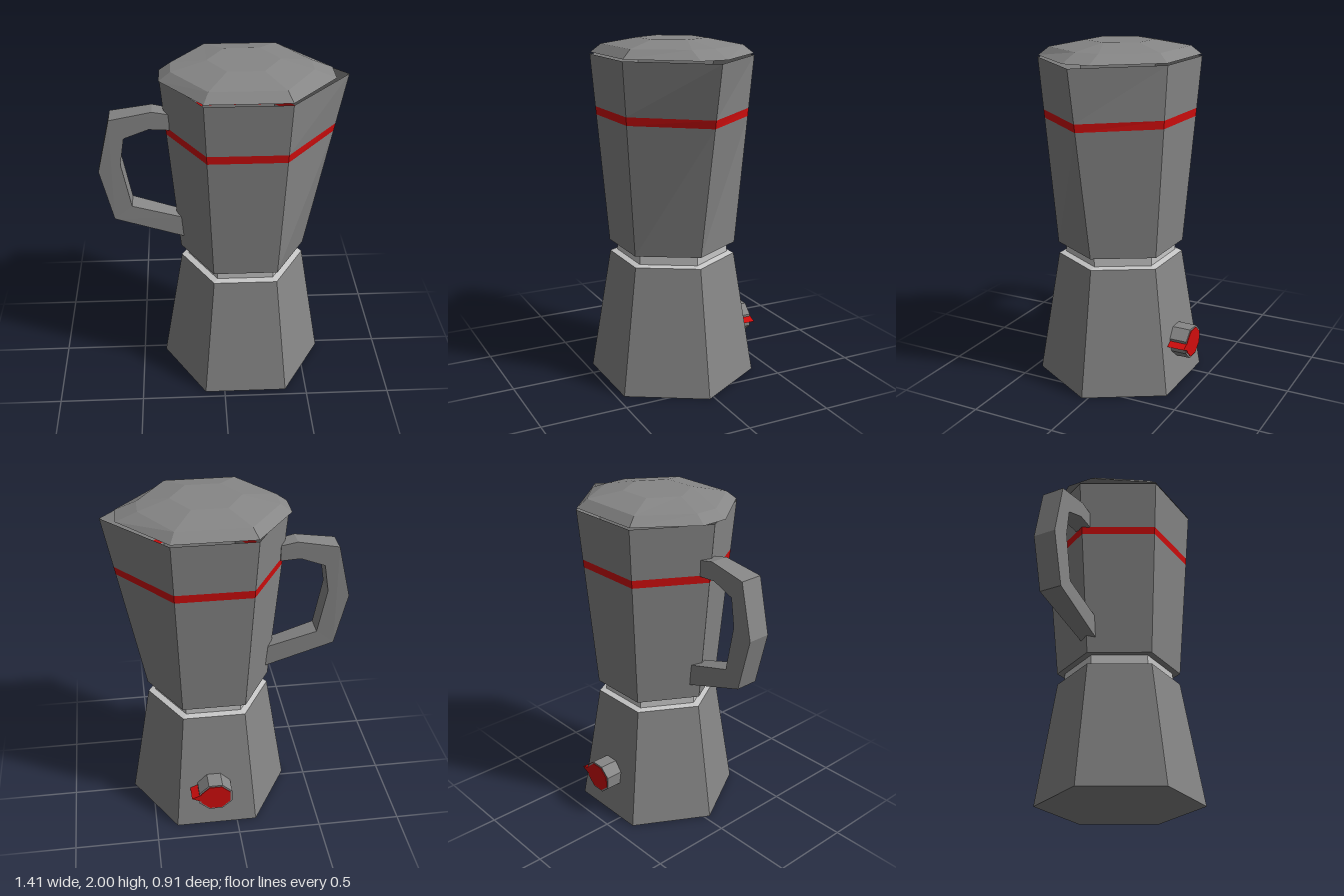
import * as THREE from 'three';

const CZ = 0.033; // z of the pot's axis

const mat = (name, color) => {
  const m = new THREE.MeshStandardMaterial({ color, side: THREE.DoubleSide });
  m.name = name;
  return m;
};

// Skin a stack of rings (bottom to top) with flat faces and optional end caps
function loft(rings, capBottom, capTop) {
  const pos = [];
  const tri = (a, b, c) => pos.push(...a, ...b, ...c);
  const n = rings[0].length;
  const centre = (ring) => [0, 1, 2].map((k) => ring.reduce((s, p) => s + p[k], 0) / n);
  const first = rings[0], last = rings[rings.length - 1];
  for (let j = 0; j < n; j++) {
    const k = (j + 1) % n;
    for (let i = 0; i < rings.length - 1; i++) {
      const a = rings[i], b = rings[i + 1];
      tri(a[j], b[j], a[k]);
      tri(a[k], b[j], b[k]);
    }
    if (capBottom) tri(centre(first), first[j], first[k]);
    if (capTop) tri(centre(last), last[k], last[j]);
  }
  const g = new THREE.BufferGeometry();
  g.setAttribute('position', new THREE.Float32BufferAttribute(pos, 3));
  g.computeVertexNormals();
  return g;
}

// Hexagon with corners on +x and -x; the +x corner may be pulled out to a spout
function hex(y, r, cx, spoutX = cx + r) {
  return Array.from({ length: 6 }, (_, i) => {
    const a = (i * Math.PI) / 3;
    return [i === 0 ? spoutX : cx + r * Math.cos(a), y, CZ + r * Math.sin(a)];
  });
}

// Ring of the upper pot at a given height
function potRing(y) {
  const t = (y - 0.81) / 1.095;
  const mix = (a, b) => a + (b - a) * t;
  return hex(y, mix(0.37, 0.465), mix(0.125, 0.12), mix(0.495, 0.705));
}

// Hexagon for the lid, with its two end corners cut off
function lidRing(y, xl, xr, w, d, h) {
  const c = 0.12;
  return [
    [xr, y, CZ + h], [c + w, y, CZ + d], [c - w, y, CZ + d], [xl, y, CZ + h],
    [xl, y, CZ - h], [c - w, y, CZ - d], [c + w, y, CZ - d], [xr, y, CZ - h],
  ];
}

const polygon = (pts) => new THREE.Shape(pts.map(([x, y]) => new THREE.Vector2(x, y)));

export function createModel() {
  const group = new THREE.Group();
  const metal = mat('greyMetal', 0x868686);
  const steel = mat('lightSteel', 0xc6c6c6);
  const red = mat('red', 0xd00d0d);
  const add = (name, geometry, material) => {
    const mesh = new THREE.Mesh(geometry, material);
    mesh.name = name;
    group.add(mesh);
    return mesh;
  };

  // Water chamber and the pale collar above it
  add('base', loft([hex(0, 0.49, 0.128), hex(0.742, 0.367, 0.125)], true, false), metal);
  add('collar', loft([hex(0.742, 0.367, 0.125), hex(0.75, 0.325, 0.125), hex(0.81, 0.325, 0.125)]), steel);

  // Upper pot with spout, split around the red band
  add('lowerPot', loft([potRing(0.81), potRing(1.56)], true, false), metal);
  add('band', loft([potRing(1.56), potRing(1.607)]), red);
  add('upperPot', loft([potRing(1.607), potRing(1.905)]), metal);

  // Faceted lid
  add('lid', loft([
    lidRing(1.915, -0.345, 0.622, 0.232, 0.4, 0.08),
    lidRing(1.963, -0.28, 0.5, 0.205, 0.345, 0.07),
    lidRing(2.0, -0.08, 0.32, 0.1, 0.17, 0.003),
  ], true, true), metal);

  // Angular handle, narrowing towards the pot
  const handleGeo = new THREE.ExtrudeGeometry(polygon([
    [-0.295, 1.7], [-0.39, 1.72], [-0.63, 1.68], [-0.705, 1.36], [-0.63, 1.045], [-0.22, 0.9],
    [-0.235, 1.035], [-0.525, 1.125], [-0.578, 1.4], [-0.552, 1.565], [-0.41, 1.615], [-0.295, 1.605],
  ]), { depth: 1, bevelEnabled: false });
  const p = handleGeo.attributes.position;
  for (let i = 0; i < p.count; i++) {
    const t = THREE.MathUtils.clamp((p.getX(i) + 0.63) / 0.33, 0, 1);
    p.setZ(i, 0.028 + (p.getZ(i) - 0.5) * (0.138 - 0.038 * t));
  }
  handleGeo.computeVertexNormals();
  add('handle', handleGeo, metal);

  // Safety valve on the back
  const octagon = (rx, ry) => Array.from({ length: 8 }, (_, i) => {
    const a = ((i + 0.5) * Math.PI) / 4;
    return [0.14 + rx * Math.cos(a), 0.26 + ry * Math.sin(a)];
  });
  const slab = (pts, depth, z) =>
    new THREE.ExtrudeGeometry(polygon(pts), { depth, bevelEnabled: false }).translate(0, 0, z);
  add('valve', slab(octagon(0.108, 0.097), 0.15, -0.452), metal);
  add('valveFace', slab(octagon(0.096, 0.086), 0.004, -0.456), red);
  add('valvePointer', slab([[0.2, 0.225], [0.285, 0.265], [0.2, 0.3]], 0.13, -0.456), red);

  return group;
}
